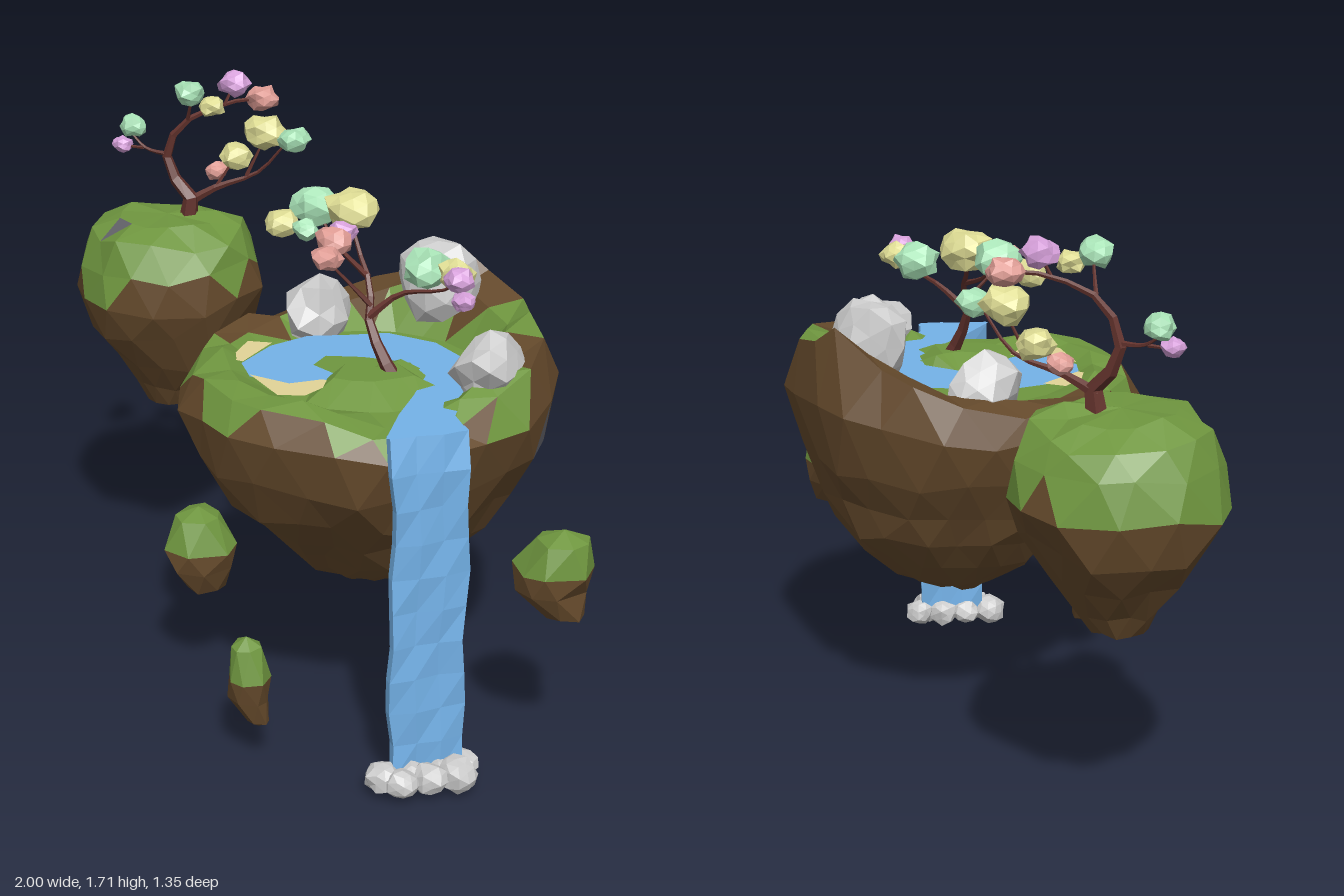
import * as THREE from 'three';
import { mergeVertices } from 'three/addons/utils/BufferGeometryUtils.js';

const V = (x, y, z) => new THREE.Vector3(x, y, z);
const C = {
  soil: 0x64492b, grass: 0x6f963f, slate: 0x626268, stone: 0xbcbcbc, water: 0x74b2e8, sand: 0xe2d498,
  bark: 0x64332d, yellow: 0xdedc94, mint: 0xa8e2b6, rose: 0xdc9a92, lilac: 0xd6a0da,
};
const mats = {};
const mat = (key) => (mats[key] ??= new THREE.MeshStandardMaterial({
  color: C[key], flatShading: true, side: THREE.DoubleSide,
}));

let seed = 90731;
const rnd = () => {
  seed = (seed * 16807) % 2147483647;
  return seed / 2147483647 - 0.5;
};

function add(group, name, geometry, key) {
  const mesh = new THREE.Mesh(geometry, mat(key));
  mesh.name = name;
  group.add(mesh);
  return mesh;
}

// Rings of a [radius, height] profile, roughened, then split into one mesh per ground colour
function island(name, cx, cz, profile, segs, rough, warp, colour) {
  const group = new THREE.Group();
  group.name = name;
  const rings = profile.map(([r, y], i) => Array.from({ length: segs }, (_, j) => {
    const calm = Math.min(1, r * 4);
    const a = ((j + (i % 2) * 0.5 + rnd() * 0.45 * calm) / segs) * Math.PI * 2;
    const k = rough * calm;
    const rr = r * (1 + rnd() * k);
    const p = V(Math.cos(a) * rr, y + rnd() * k * 0.5, Math.sin(a) * rr);
    warp(p, a, i);
    return p.add(V(cx, 0, cz));
  }));
  const bins = {};
  const face = (a, b, c) => {
    const area = b.clone().sub(a).cross(c.clone().sub(a)).length();
    if (area < 1e-7) return;
    const mid = a.clone().add(b).add(c).divideScalar(3);
    (bins[colour(mid)] ??= []).push(a, b, c);
  };
  for (let i = 0; i < rings.length - 1; i++) {
    for (let j = 0; j < segs; j++) {
      const n = (j + 1) % segs;
      const [a, b, c, d] = [rings[i][j], rings[i][n], rings[i + 1][n], rings[i + 1][j]];
      if (i % 2) { face(a, d, c); face(a, c, b); } else { face(a, d, b); face(b, d, c); }
    }
  }
  for (const key in bins) {
    const g = new THREE.BufferGeometry().setFromPoints(bins[key]);
    g.computeVertexNormals();
    add(group, name + key[0].toUpperCase() + key.slice(1), g, key);
  }
  return group;
}

// Roughened low-poly lump for stones and foliage
function lump(group, name, [x, y, z], [sx, sy, sz], key, rough = 0.35) {
  let g = new THREE.IcosahedronGeometry(1, 1);
  g.deleteAttribute('uv');
  g.deleteAttribute('normal');
  g = mergeVertices(g, 1e-3);
  const p = g.attributes.position;
  for (let i = 0; i < p.count; i++) {
    const s = 1 + rnd() * rough;
    p.setXYZ(i, p.getX(i) * s * sx, p.getY(i) * s * sy, p.getZ(i) * s * sz);
  }
  g.computeVertexNormals();
  add(group, name, g, key).position.set(x, y, z);
}

// Tapered branch along a smooth path, flared at its foot
function branch(group, points, r0, r1) {
  const curve = new THREE.CatmullRomCurve3(points.map((p) => V(...p)));
  const n = 8, sides = 5;
  const g = new THREE.TubeGeometry(curve, n, r0, sides);
  const p = g.attributes.position;
  for (let i = 0; i <= n; i++) {
    const c = curve.getPointAt(i / n);
    const k = r1 / r0 + (1 - r1 / r0) * (1 - i / n) ** 2;
    for (let j = 0; j <= sides; j++) {
      const q = i * (sides + 1) + j;
      const v = V(0, 0, 0).fromBufferAttribute(p, q).sub(c).multiplyScalar(k).add(c);
      p.setXYZ(q, v.x, v.y, v.z);
    }
  }
  g.computeVertexNormals();
  add(group, 'branch', g, 'bark');
}

function tree(name, branches, leaves) {
  const group = new THREE.Group();
  group.name = name;
  branches.forEach(([pts, r0, r1]) => branch(group, pts, r0, r1));
  leaves.forEach(([x, y, z, r, key]) => lump(group, 'foliage', [x, y, z], [r * 1.25, r, r * 1.2], key));
  return group;
}

// Flat patch from an x, z outline
function patch(group, name, y, outline, key) {
  const g = new THREE.ShapeGeometry(new THREE.Shape(outline.map(([x, z]) => new THREE.Vector2(x, -z))));
  add(group, name, g.rotateX(-Math.PI / 2), key).position.y = y;
}

export function createModel() {
  const model = new THREE.Group();

  // Main island: deep bowl, rim with a peak at the back, notch where the stream leaves
  const mainProfile = [[0, 0.42], [0.12, 0.425], [0.21, 0.475], [0.295, 0.555], [0.37, 0.645], [0.44, 0.74], [0.51, 0.87],
    [0.54, 1.0], [0.49, 1.08], [0.41, 1.1], [0.32, 1.07], [0.22, 1.07], [0.11, 1.07], [0, 1.07]];
  model.add(island('mainIsland', 0.24, 0.1, mainProfile, 22, 0.07, (p, a, i) => {
    const rise = 0.12 * Math.max(0, Math.cos(a + 1)) + 0.1 * Math.exp(-(((a - 4.83) / 0.35) ** 2));
    const notch = Math.abs(a - 0.81) < 0.3;
    if (i < 5) p.z -= 0.04;
    if (i === 7) p.y += rise * 0.4;
    if (i === 8) p.y = notch ? 1.05 : p.y + rise;
    if (i === 9) p.y = notch ? 1.055 : p.y + rise * 0.6;
    if (i > 9) p.y = 1.06 + (Math.hypot(p.x - 0.1, p.z - 0.12) < 0.14 ? 0.05 : 0);
  }, (m) => {
    const dx = m.x - 0.24, dz = m.z - 0.1;
    if (m.distanceTo(V(0.72, 0.94, 0.06)) < 0.06 || m.distanceTo(V(-0.08, 0.8, 0.4)) < 0.06) return 'slate';
    const wave = 0.035 * Math.sin(Math.atan2(dz, dx) * 7);
    const edge = (m.z > 0.15 ? 0.5 : m.x > 0.5 ? 0.46 : 0.4) + wave;
    return m.y > 1.03 && Math.hypot(dx, dz) < edge ? 'grass' : 'soil';
  }));

  // Pond curling into a stream, with sandy banks
  patch(model, 'pond', 1.086, [[0.7, 0.44], [0.63, 0.36], [0.6, 0.24], [0.54, 0.08], [0.47, -0.05],
    [0.36, -0.12], [0.2, -0.13], [0.1, -0.06], [0, 0], [-0.06, 0.12], [-0.07, 0.28], [0, 0.36], [0.13, 0.37],
    [0.2, 0.31], [0.22, 0.24], [0.12, 0.2], [0.12, 0.12], [0.22, 0.08], [0.36, 0.06], [0.44, 0.13], [0.47, 0.28],
    [0.49, 0.42], [0.53, 0.59]], 'water');
  patch(model, 'sandBank', 1.092, [[-0.13, 0.13], [-0.06, 0.11], [-0.065, 0.28], [-0.11, 0.28]], 'sand');
  patch(model, 'sandBank', 1.092, [[0, 0.36], [0.13, 0.37], [0.2, 0.3], [0.24, 0.31], [0.21, 0.43], [0.14, 0.46]], 'sand');

  // Waterfall: thin rippled sheet turned to the corner
  const fall = new THREE.BoxGeometry(0.215, 1.03, 0.03, 3, 10, 1);
  const fp = fall.attributes.position;
  for (let i = 0; i < fp.count; i++) {
    const x = fp.getX(i), y = fp.getY(i);
    fp.setX(i, x * (1 + 0.06 * Math.sin(y * 17)) + 0.006 * Math.sin(y * 11));
    fp.setZ(i, fp.getZ(i) + 0.008 * Math.sin(y * 13 + x * 30) - Math.max(0, y - 0.42) * 0.2);
  }
  fall.computeVertexNormals();
  const sheet = add(model, 'waterfall', fall, 'water');
  sheet.position.set(0.628, 0.57, 0.512);
  sheet.rotation.y = Math.PI / 4;

  // Stones under the waterfall
  for (let i = 0; i < 7; i++) {
    const t = i / 6, side = i % 2 ? 0.025 : -0.01;
    const s = 0.05 + rnd() * 0.016;
    lump(model, 'splashStone', [0.55 + t * 0.17 + side, 0.06 + rnd() * 0.015, 0.61 - t * 0.17 + side],
      [s * 1.1, s, s], 'stone', 0.3);
  }

  // Boulders on the rim
  lump(model, 'backBoulder', [0.31, 1.235, -0.24], [0.12, 0.13, 0.095], 'stone', 0.3);
  lump(model, 'leftBoulder', [-0.02, 1.11, -0.12], [0.095, 0.12, 0.12], 'stone', 0.4);
  lump(model, 'rightBoulder', [0.63, 1.14, 0.13], [0.09, 0.11, 0.13], 'stone', 0.4);

  // Second island
  const sideProfile = [[0, 0.63], [0.085, 0.635], [0.12, 0.7], [0.185, 0.8], [0.26, 0.91], [0.3, 1.01], [0.285, 1.12],
    [0.24, 1.2], [0.15, 1.25], [0, 1.255]];
  model.add(island('sideIsland', -0.695, -0.385, sideProfile, 13, 0.11, () => {}, (m) => {
    if (m.distanceTo(V(-0.78, 1.21, -0.26)) < 0.06) return 'slate';
    return m.y > 1.04 + 0.05 * Math.sin(m.x * 17 + m.z * 9) ? 'grass' : 'soil';
  }));

  // Drifting fragments: centre, half sizes, grass line, lean of the top and of the foot
  [[-0.235, 0.445, 0.24, 0.105, 0.135, 0.12, 0.46, -0.01, 0.015],
    [0.12, 0.26, 0.6, 0.067, 0.14, 0.065, 0.3, -0.01, 0.025],
    [0.88, 0.615, 0.23, 0.115, 0.135, 0.11, 0.62, 0.03, 0.045]].forEach(([x, y, z, sx, sy, sz, line, top, foot]) => {
    const prof = [[0, -1], [0.5, -0.9], [0.9, -0.35], [1, 0.1], [0.65, 0.8], [0, 1]];
    model.add(island('fragment', x, z, prof, 7, 0.18, (p) => {
      const lean = p.y > 0.5 ? top : p.y < -0.5 ? foot : 0;
      p.set(p.x * sx + lean, y + p.y * sy, p.z * sz);
    }, (m) => (m.y > line ? 'grass' : 'soil')));
  });

  // Trees
  model.add(tree('sideTree', [
    [[[-0.64, 1.23, -0.42], [-0.63, 1.31, -0.42], [-0.7, 1.38, -0.42], [-0.71, 1.46, -0.42], [-0.65, 1.55, -0.43],
      [-0.53, 1.61, -0.5], [-0.45, 1.62, -0.56]], 0.032, 0.006],
    [[[-0.64, 1.29, -0.42], [-0.56, 1.34, -0.46], [-0.44, 1.39, -0.52], [-0.34, 1.5, -0.53]], 0.017, 0.004],
    [[[-0.71, 1.44, -0.42], [-0.79, 1.45, -0.42], [-0.86, 1.5, -0.43]], 0.009, 0.004],
    [[[-0.8, 1.45, -0.42], [-0.87, 1.45, -0.41]], 0.006, 0.004],
    [[[-0.64, 1.56, -0.43], [-0.6, 1.65, -0.39]], 0.007, 0.004],
    [[[-0.54, 1.605, -0.49], [-0.515, 1.67, -0.51]], 0.006, 0.004],
    [[[-0.56, 1.34, -0.46], [-0.52, 1.42, -0.5]], 0.007, 0.004],
    [[[-0.47, 1.38, -0.5], [-0.42, 1.5, -0.53]], 0.007, 0.004],
  ], [
    [-0.6, 1.66, -0.38, 0.042, 'mint'], [-0.515, 1.67, -0.51, 0.04, 'lilac'], [-0.445, 1.62, -0.565, 0.04, 'rose'],
    [-0.53, 1.625, -0.39, 0.033, 'yellow'], [-0.85, 1.51, -0.44, 0.036, 'mint'], [-0.87, 1.455, -0.41, 0.026, 'lilac'],
    [-0.42, 1.52, -0.53, 0.054, 'yellow'], [-0.315, 1.51, -0.53, 0.04, 'mint'], [-0.52, 1.43, -0.53, 0.045, 'yellow'],
    [-0.58, 1.38, -0.5, 0.03, 'rose'],
  ]));
  model.add(tree('mainTree', [
    [[[0.38, 1.07, 0.19], [0.33, 1.15, 0.19], [0.28, 1.24, 0.17], [0.27, 1.32, 0.14], [0.2, 1.4, 0.07],
      [0.14, 1.48, 0.01]], 0.025, 0.006],
    [[[0.28, 1.25, 0.17], [0.36, 1.32, 0.14], [0.5, 1.36, 0.16], [0.57, 1.41, 0.19]], 0.013, 0.004],
    [[[0.25, 1.35, 0.12], [0.12, 1.4, 0.05], [0.02, 1.47, 0], [-0.06, 1.44, 0.04]], 0.01, 0.004],
    [[[0.28, 1.28, 0.16], [0.22, 1.36, 0.2], [0.17, 1.43, 0.24]], 0.009, 0.004],
  ], [
    [0.14, 1.495, 0, 0.062, 'yellow'], [0.02, 1.485, -0.01, 0.056, 'mint'], [-0.06, 1.44, 0.05, 0.042, 'yellow'],
    [0.03, 1.44, 0.07, 0.03, 'mint'], [0.15, 1.45, 0.07, 0.032, 'lilac'], [0.14, 1.435, 0.12, 0.042, 'rose'],
    [0.18, 1.425, 0.24, 0.036, 'rose'], [0.43, 1.395, 0.11, 0.056, 'mint'], [0.52, 1.4, 0.12, 0.04, 'yellow'],
    [0.56, 1.41, 0.19, 0.036, 'lilac'], [0.585, 1.36, 0.22, 0.026, 'lilac'],
  ]));
  return model;
}
